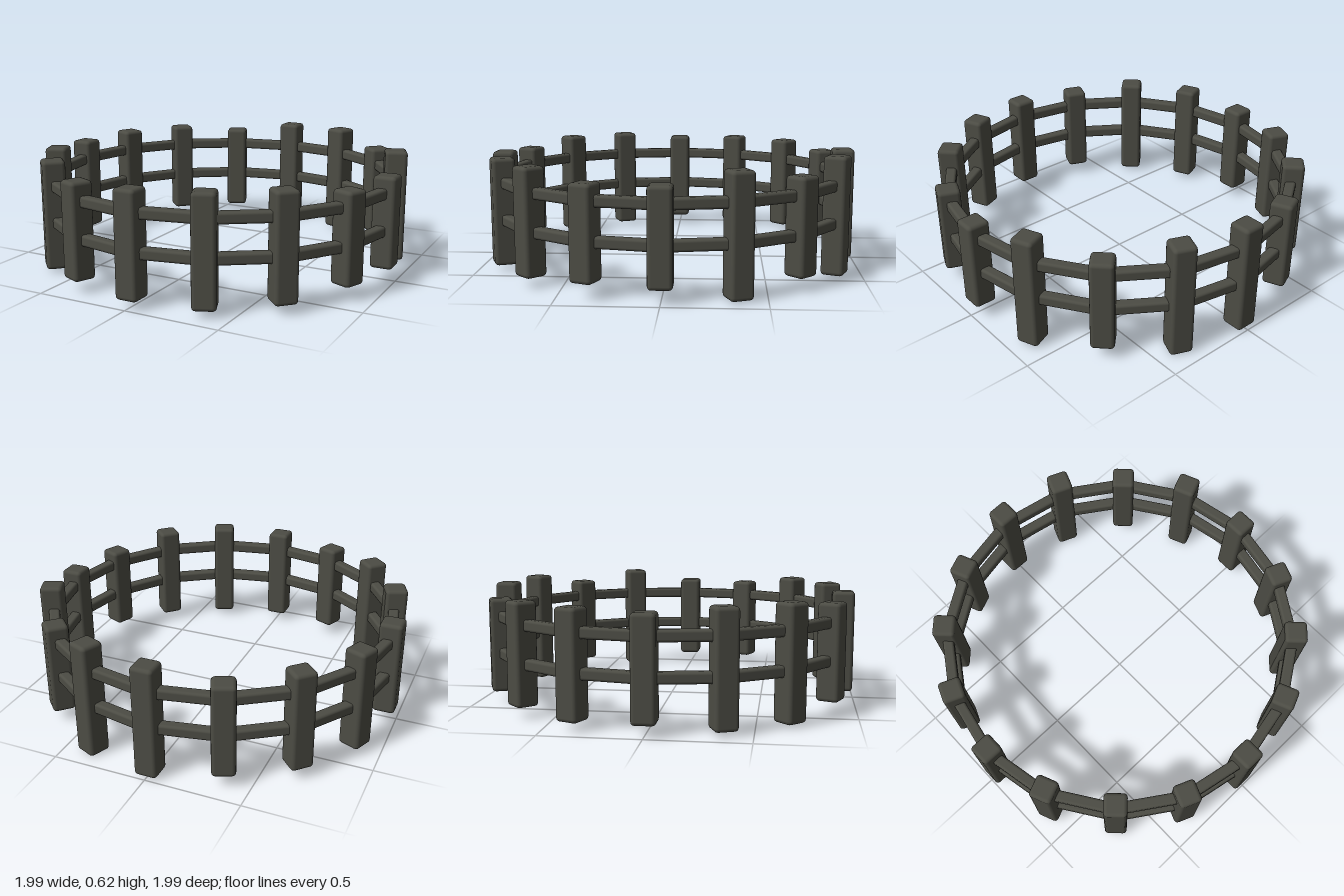
import * as THREE from 'three';
import { RoundedBoxGeometry } from 'three/addons/geometries/RoundedBoxGeometry.js';

const RADIUS = 0.935;
const POST_WIDTH = 0.12;
const RAIL_WIDTH = 0.058;

// Bottom and top of each post, starting at the front and turning towards +x
const POSTS = [
  [0.045, 0.59], [0.035, 0.6], [0.05, 0.6], [0.08, 0.555],
  [0.075, 0.56], [0.01, 0.62], [0.07, 0.565], [0.003, 0.622],
  [0.015, 0.615], [0.07, 0.565], [0.06, 0.59], [0.045, 0.59],
  [0.06, 0.58], [0.025, 0.605], [0.02, 0.605], [0.065, 0.57],
];
const RAIL_HEIGHTS = [0.275, 0.47];

export function createModel() {
  const model = new THREE.Group();
  model.name = 'roundFence';
  const wood = new THREE.MeshStandardMaterial({ color: 0x4c4c44 });
  wood.name = 'darkWeatheredWood';

  const step = (Math.PI * 2) / POSTS.length;

  // Upright posts with softened edges
  POSTS.forEach(([bottom, top], i) => {
    const post = new THREE.Mesh(
      new RoundedBoxGeometry(POST_WIDTH, top - bottom, POST_WIDTH, 2, 0.02), wood);
    post.name = 'post';
    const a = i * step;
    post.position.set(RADIUS * Math.sin(a), (bottom + top) / 2, RADIUS * Math.cos(a));
    post.rotation.y = a;
    model.add(post);
  });

  // Straight rails from post centre to post centre
  const railLength = 2 * RADIUS * Math.sin(step / 2);
  const railGeometry = new RoundedBoxGeometry(railLength, RAIL_WIDTH, RAIL_WIDTH, 2, 0.014);
  const railRadius = RADIUS * Math.cos(step / 2);
  for (let i = 0; i < POSTS.length; i++) {
    const a = (i + 0.5) * step;
    for (const y of RAIL_HEIGHTS) {
      const rail = new THREE.Mesh(railGeometry, wood);
      rail.name = 'rail';
      rail.position.set(railRadius * Math.sin(a), y, railRadius * Math.cos(a));
      rail.rotation.y = a;
      model.add(rail);
    }
  }
  return model;
}
